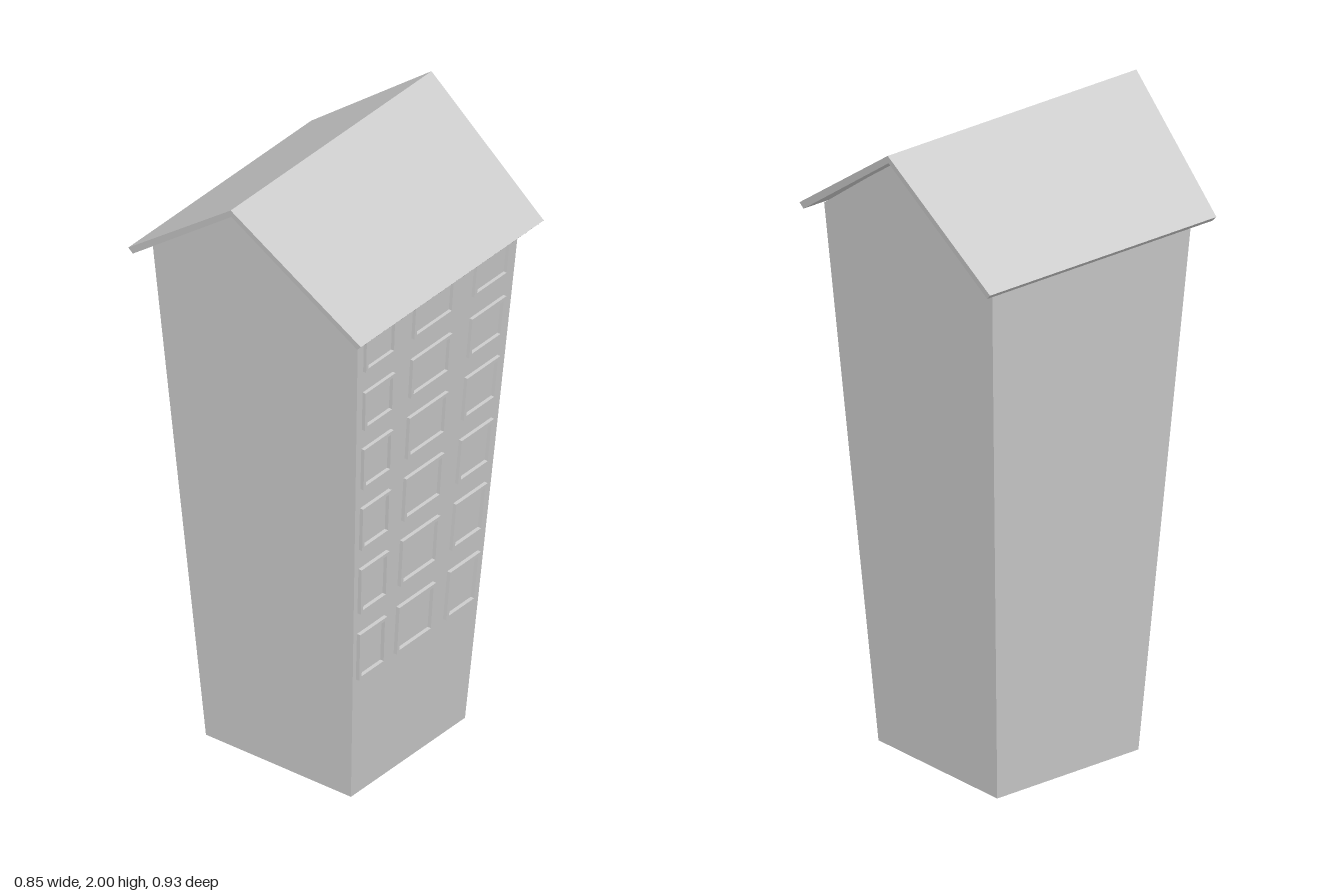
import * as THREE from 'three';

const RIDGE_X = -0.018;
const SLOPE = 0.065; // outward lean of the walls per unit of height
const wallHalf = (y) => 0.265 + SLOPE * y;
const roofHalf = (y) => 0.424 + 0.134 * (y - 1.68);

const shapeOf = (points) => new THREE.Shape(points.map(([x, y]) => new THREE.Vector2(x, y)));

// Extrude an outline along z, its half depth varying with height
function flaredPrism(points, halfDepth) {
  const geo = new THREE.ExtrudeGeometry(shapeOf(points), { depth: 2, bevelEnabled: false });
  const pos = geo.attributes.position;
  for (let i = 0; i < pos.count; i++) {
    pos.setZ(i, (pos.getZ(i) - 1) * halfDepth(pos.getY(i)));
  }
  geo.computeVertexNormals();
  return geo;
}

export function createModel() {
  const model = new THREE.Group();
  model.name = 'tower';
  const material = new THREE.MeshStandardMaterial({ color: 0xcccccc });
  const add = (name, geo, parent = model) => {
    const mesh = new THREE.Mesh(geo, material);
    mesh.name = name;
    parent.add(mesh);
  };

  // Tapered body with gable ends
  const eave = 1.69;
  add('body', flaredPrism([
    [-0.267, 0], [0.263, 0], [wallHalf(eave), eave], [RIDGE_X, 1.982], [-wallHalf(eave), eave],
  ], wallHalf));

  // Thin pitched roof, longer at the ridge than at the eaves
  add('roof', flaredPrism([
    [-0.425, 1.688], [-0.41, 1.672], [RIDGE_X, 1.976], [0.41, 1.672], [0.425, 1.688], [RIDGE_X, 2],
  ], roofHalf));

  // Window frames on the left wall, three columns fanning out with height
  const windows = new THREE.Group();
  windows.name = 'windows';
  model.add(windows);
  const rows = [[0.42, 0.585], [0.66, 0.82], [0.89, 1.04], [1.11, 1.255], [1.325, 1.46], [1.535, 1.665]];
  // Each column: z of both sides at the lowest and at the highest row
  const columns = [
    { low: [0.282, 0.157], high: [0.341, 0.2] },
    { low: [0.103, -0.066], high: [0.114, -0.071] },
    { low: [-0.13, -0.27], high: [-0.168, -0.328] },
  ];
  // Maps the frame plane onto the leaning wall: x to -z, y up the wall, depth to +x
  const ontoWall = new THREE.Matrix4().set(
    0, SLOPE, 1, 0.262,
    0, 1, 0, 0,
    -1, 0, 0, 0,
    0, 0, 0, 1,
  );
  const border = 0.011;
  for (const [bottom, top] of rows) {
    for (const { low, high } of columns) {
      const side = (k, y) => -THREE.MathUtils.mapLinear(y, 0.5, 1.6, low[k], high[k]);
      const outline = (inset) => {
        const b = bottom + inset, t = top - inset;
        return [
          [side(0, b) + inset, b], [side(1, b) - inset, b],
          [side(1, t) - inset, t], [side(0, t) + inset, t],
        ];
      };
      const frame = shapeOf(outline(0));
      frame.holes.push(shapeOf(outline(border)));
      const geo = new THREE.ExtrudeGeometry(frame, { depth: 0.014, bevelEnabled: false });
      add('windowFrame', geo.applyMatrix4(ontoWall), windows);
    }
  }
  return model;
}
